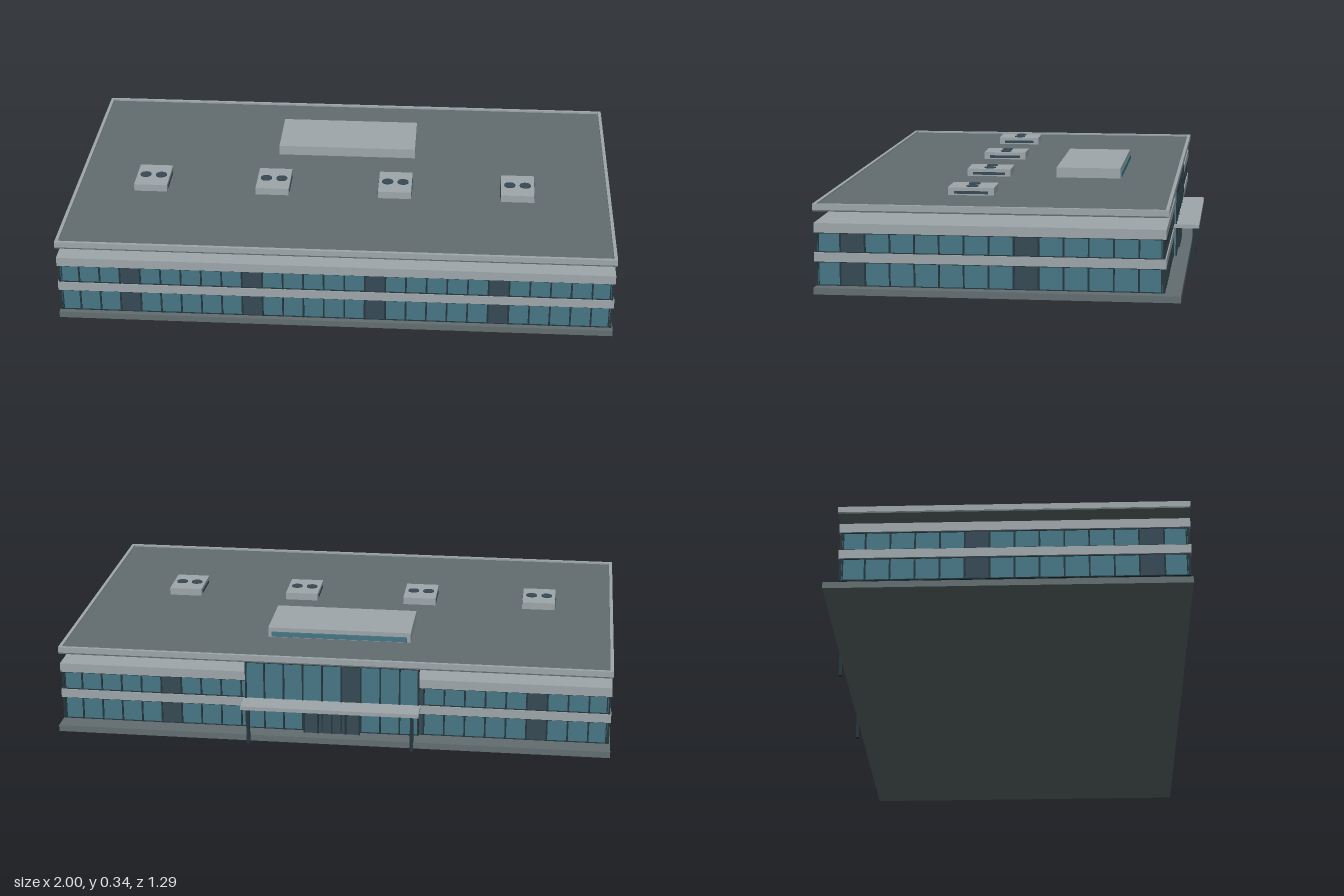
import * as THREE from 'three';

const mat = (name, color) => {
  const m = new THREE.MeshStandardMaterial({ color });
  m.name = name;
  return m;
};

export function createModel() {
  const model = new THREE.Group();
  model.name = 'officeBuilding';

  const concrete = mat('lightConcrete', 0x9ea7ac);
  const slate = mat('slateGrey', 0x636e70);
  const glass = mat('tealGlass', 0x467785);
  const darkGlass = mat('darkGlass', 0x374a55);
  const frame = mat('darkFrame', 0x26363d);

  // Box given by its minimum and maximum along each axis
  function box(parent, name, material, x0, x1, y0, y1, z0, z1) {
    const mesh = new THREE.Mesh(new THREE.BoxGeometry(x1 - x0, y1 - y0, z1 - z0), material);
    mesh.position.set((x0 + x1) / 2, (y0 + y1) / 2, (z0 + z1) / 2);
    mesh.name = name;
    parent.add(mesh);
    return mesh;
  }

  // Strip of glazing facing local +z, centred on x, with evenly spaced mullions
  function glazing(name, width, y0, y1, panes, isDark) {
    const g = new THREE.Group();
    g.name = name;
    const h = width / 2, step = width / panes;
    box(g, 'glassStrip', glass, -h, h, y0, y1, -0.006, 0);
    for (let i = 0; i < panes; i++) {
      const x = -h + i * step;
      if (isDark(i)) box(g, 'darkPane', darkGlass, x, x + step, y0, y1, -0.008, 0.002);
    }
    for (let i = 0; i <= panes; i++) {
      const x = THREE.MathUtils.clamp(-h + i * step, -h + 0.003, h - 0.003);
      box(g, 'mullion', frame, x - 0.003, x + 0.003, y0, y1, -0.01, 0.004);
    }
    for (const y of [y0, y1 - 0.003]) box(g, 'rail', frame, -h, h, y, y + 0.003, -0.009, 0.003);
    model.add(g);
    return g;
  }

  const FRONT = 0.64, BACK = -0.555, MID = (FRONT + BACK) / 2, DEPTH = FRONT - BACK;

  // Base slab and storey bands
  box(model, 'baseSlab', slate, -1, 1, 0, 0.023, -0.605, 0.643);
  box(model, 'middleBand', concrete, -0.998, 0.998, 0.114, 0.146, BACK, FRONT);
  box(model, 'upperBand', concrete, -0.998, 0.998, 0.214, 0.247, BACK, FRONT);

  // Two storeys of glazing on all four sides
  for (const [y0, y1] of [[0.031, 0.114], [0.146, 0.214]]) {
    const longDark = i => i % 6 === 3, shortDark = i => i % 7 === 1;
    glazing('frontGlazing', 1.986, y0, y1, 27, longDark).position.z = FRONT - 0.007;
    const back = glazing('backGlazing', 1.986, y0, y1, 27, i => i % 6 === 5);
    back.rotation.y = Math.PI;
    back.position.z = BACK + 0.007;
    for (const s of [1, -1]) {
      const side = glazing('sideGlazing', DEPTH - 0.012, y0, y1, 14,
        s > 0 ? shortDark : i => shortDark(13 - i));
      side.rotation.y = s * Math.PI / 2;
      side.position.set(s * 0.991, 0, MID);
    }
  }

  // Tall entrance glazing at the back
  const entrance = glazing('entranceGlazing', 0.63, 0.031, 0.287, 9, i => i === 5);
  entrance.rotation.y = Math.PI;
  entrance.position.z = BACK - 0.003;

  // Double doors
  const doors = new THREE.Group();
  doors.name = 'entranceDoors';
  model.add(doors);
  box(doors, 'doorGlass', darkGlass, -0.1, 0.1, 0.023, 0.118, -0.562, -0.557);
  for (const x of [-0.1, -0.05, 0, 0.05, 0.1])
    box(doors, 'doorPost', frame, x - 0.003, x + 0.003, 0.023, 0.12, -0.565, -0.556);
  box(doors, 'doorHead', frame, -0.103, 0.103, 0.117, 0.122, -0.565, -0.556);

  // Entrance canopy on two posts
  box(model, 'canopy', concrete, -0.32, 0.32, 0.134, 0.148, -0.643, -0.552);
  for (const x of [-0.295, 0.295])
    box(model, 'canopyPost', frame, x - 0.006, x + 0.006, 0, 0.134, -0.631, -0.619);

  // Roof deck with a raised rim
  const R0 = -0.563, R1 = 0.643;
  box(model, 'roofDeck', slate, -0.999, 0.999, 0.287, 0.306, R0 + 0.001, R1 - 0.001);
  for (const s of [1, -1]) {
    const x = s * 0.994;
    box(model, 'sideRim', concrete, x - 0.006, x + 0.006, 0.292, 0.313, R0, R1);
  }
  box(model, 'frontRim', concrete, -1, 1, 0.292, 0.313, R1 - 0.012, R1);
  box(model, 'backRim', concrete, -1, 1, 0.292, 0.313, R0, R0 + 0.012);

  // Plant room with a window strip at the back
  box(model, 'plantRoom', concrete, -0.264, 0.262, 0.3, 0.343, -0.349, -0.111);
  box(model, 'plantRoomWindow', glass, -0.25, 0.25, 0.309, 0.327, -0.354, -0.348);

  // Row of rooftop cooling units, each with two fans
  const fanShape = new THREE.CylinderGeometry(0.021, 0.021, 0.004, 20);
  for (let i = 0; i < 4; i++) {
    const unit = new THREE.Group();
    unit.name = 'coolingUnit';
    unit.position.set(-0.717 + i * 0.457, 0, 0.142);
    box(unit, 'housing', concrete, -0.062, 0.062, 0.305, 0.333, -0.081, 0.081);
    for (const s of [1, -1]) {
      box(unit, 'louvre', darkGlass, s * 0.062 - 0.002, s * 0.062 + 0.002, 0.311, 0.321, -0.06, 0.06);
      const fan = new THREE.Mesh(fanShape, darkGlass);
      fan.position.set(s * 0.029, 0.334, 0);
      fan.name = 'fan';
      unit.add(fan);
    }
    model.add(unit);
  }
  return model;
}
